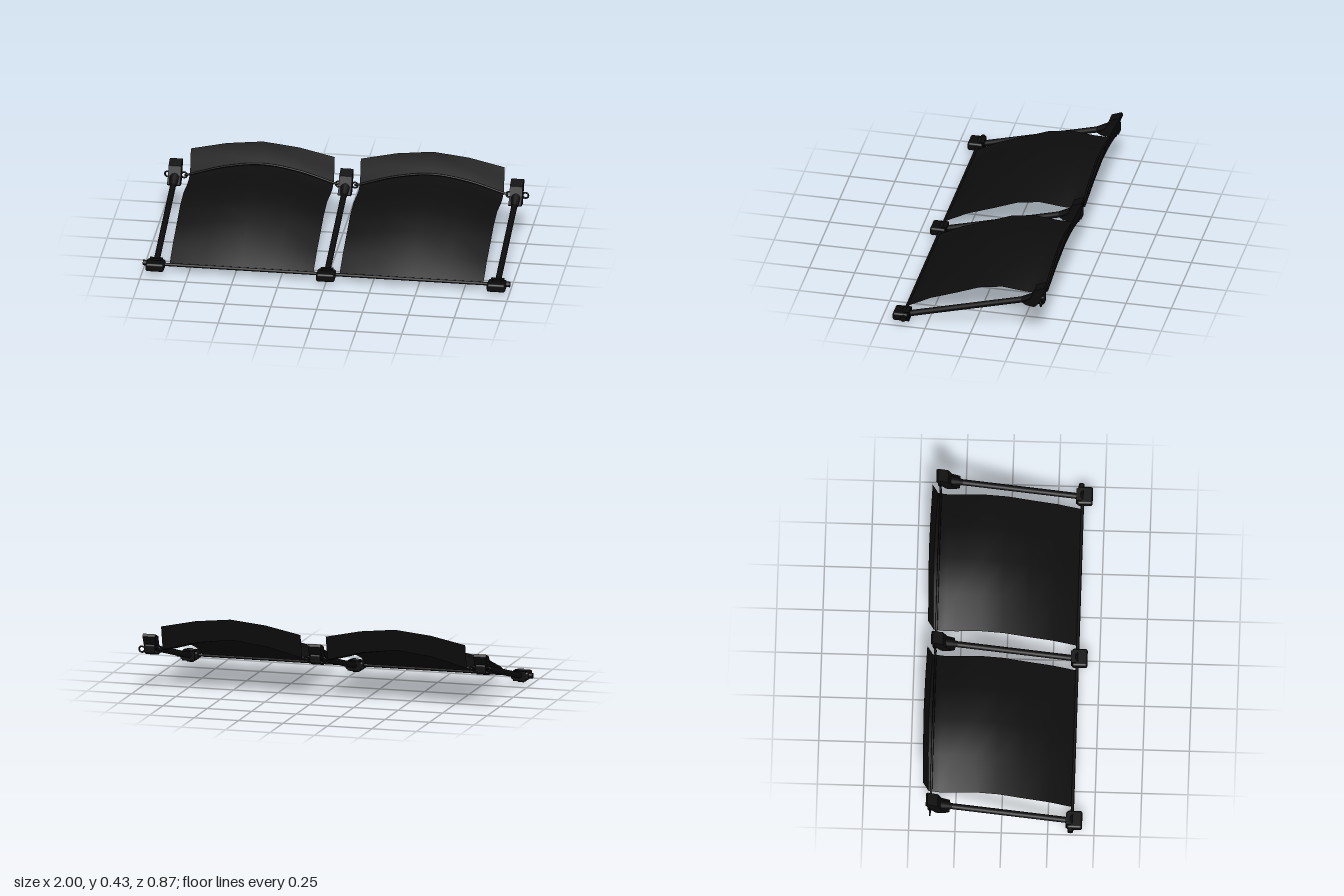
import * as THREE from 'three';
import { RoundedBoxGeometry } from 'three/addons/geometries/RoundedBoxGeometry.js';

const frameMat = new THREE.MeshStandardMaterial({ color: 0x0b0b0b });
frameMat.name = 'black frame';
const fabricMat = new THREE.MeshStandardMaterial({ color: 0x0d0d0d, side: THREE.DoubleSide });
fabricMat.name = 'black fabric';

const HALF = 0.392; // half the width of one fabric panel
const MID = 0.463; // centre of the panel on each side

function add(parent, name, geometry, material, x = 0, y = 0, z = 0) {
  const mesh = new THREE.Mesh(geometry, material);
  mesh.name = name;
  mesh.position.set(x, y, z);
  parent.add(mesh);
  return mesh;
}

// Round bar between two points
function bar(parent, name, a, b, r0, r1 = r0, sides = 12) {
  const from = new THREE.Vector3(...a);
  const dir = new THREE.Vector3(...b).sub(from);
  const mesh = add(parent, name, new THREE.CylinderGeometry(r1, r0, dir.length(), sides), frameMat);
  mesh.position.copy(from).addScaledVector(dir, 0.5);
  mesh.quaternion.setFromUnitVectors(new THREE.Vector3(0, 1, 0), dir.normalize());
  return mesh;
}

// Sheet arched across x; each row is [edge z, edge y, middle z, middle y]
function archedSheet(rows) {
  const pos = [], index = [], cols = 4;
  rows.forEach(([ez, ey, mz, my], i) => {
    for (let j = 0; j <= cols; j++) {
      const u = (j / cols) * 2 - 1;
      const k = 1 - Math.pow(Math.abs(u), 1.6);
      pos.push(u * HALF, ey + (my - ey) * k, ez + (mz - ez) * k);
      if (i && j) {
        const d = i * (cols + 1) + j, c = d - 1, b = d - cols - 1, a = b - 1;
        index.push(a, b, c, b, d, c);
      }
    }
  });
  const g = new THREE.BufferGeometry();
  g.setAttribute('position', new THREE.Float32BufferAttribute(pos, 3));
  g.setIndex(index);
  g.computeVertexNormals();
  return g;
}

function makePanel() {
  const panel = new THREE.Group();
  panel.name = 'fabricPanel';
  add(panel, 'canopy', archedSheet([
    [0.385, 0.04, 0.385, 0.04],
    [0.25, 0.11, 0.25, 0.14],
    [0.11, 0.16, 0.11, 0.207],
    [-0.02, 0.21, -0.03, 0.27],
    [-0.145, 0.23, -0.155, 0.288],
    [-0.28, 0.216, -0.28, 0.301],
    [-0.34, 0.215, -0.34, 0.297],
    [-0.397, 0.232, -0.408, 0.309],
  ]), fabricMat);
  // Upright flap along the rear edge
  add(panel, 'rearFlap', archedSheet([
    [-0.397, 0.232, -0.408, 0.309],
    [-0.412, 0.3, -0.425, 0.37],
    [-0.427, 0.365, -0.435, 0.428],
  ]), fabricMat);
  // Arched cord between the rings
  const pts = [-0.42, -HALF, -0.2, 0, 0.2, HALF, 0.42].map((x) => {
    const k = 1 - Math.pow(Math.min(1, Math.abs(x) / HALF), 1.7);
    return new THREE.Vector3(x, 0.232 + 0.086 * k, -0.383);
  });
  pts[0].y = pts[6].y = 0.225;
  add(panel, 'rearCord', new THREE.TubeGeometry(new THREE.CatmullRomCurve3(pts), 32, 0.006, 8), frameMat);
  return panel;
}

// Tilted bracket outline as [-z, y]
const bracketOutline = [
  [0.28, 0.21], [0.3, 0.197], [0.345, 0.19], [0.362, 0.205],
  [0.409, 0.3], [0.4, 0.314], [0.345, 0.293], [0.325, 0.24],
];

function makeArm() {
  const arm = new THREE.Group();
  arm.name = 'supportArm';
  bar(arm, 'strut', [0, 0.044, 0.35], [0, 0.217, -0.3], 0.0165);
  bar(arm, 'strutSocket', [0, 0.209, -0.27], [0, 0.227, -0.345], 0.017, 0.034);

  // Rear bracket
  const shape = new THREE.Shape(bracketOutline.map(([u, v]) => new THREE.Vector2(u, v)));
  const g = new THREE.ExtrudeGeometry(shape, { depth: 0.07, bevelEnabled: false });
  g.rotateY(Math.PI / 2);
  g.translate(-0.035, 0, 0);
  add(arm, 'rearBracket', g, frameMat);
  add(arm, 'ringHolder', new RoundedBoxGeometry(0.06, 0.05, 0.04, 2, 0.01), frameMat, 0, 0.23, -0.38);
  for (const s of [-1, 1]) {
    add(arm, 'cordRing', new THREE.TorusGeometry(0.016, 0.005, 8, 20), frameMat, s * 0.044, 0.225, -0.386);
  }

  // Front joint: rounded head, flared collar and rear block
  add(arm, 'jointHead', new RoundedBoxGeometry(0.1, 0.046, 0.084, 3, 0.012), frameMat, 0, 0.04, 0.393);
  const collar = new THREE.CylinderGeometry(0.041, 0.026, 0.022, 8);
  collar.rotateY(Math.PI / 8);
  collar.rotateX(Math.PI / 2);
  add(arm, 'jointCollar', collar, frameMat, 0, 0.038, 0.372);
  add(arm, 'jointBlock', new THREE.BoxGeometry(0.07, 0.054, 0.028), frameMat, 0, 0.04, 0.36);
  return arm;
}

export function createModel() {
  const model = new THREE.Group();
  model.name = 'awning';

  for (const s of [-1, 1]) {
    const panel = makePanel();
    panel.position.x = s * MID;
    model.add(panel);
  }
  for (const x of [-0.93, 0, 0.93]) {
    const arm = makeArm();
    arm.position.x = x;
    model.add(arm);
  }

  // Front rail with end caps
  bar(model, 'frontRail', [-0.99, 0.042, 0.38], [0.99, 0.042, 0.38], 0.009);
  for (const s of [-1, 1]) {
    bar(model, 'railCap', [s * 0.975, 0.042, 0.372], [s, 0.042, 0.372], 0.015);
  }
  return model;
}
